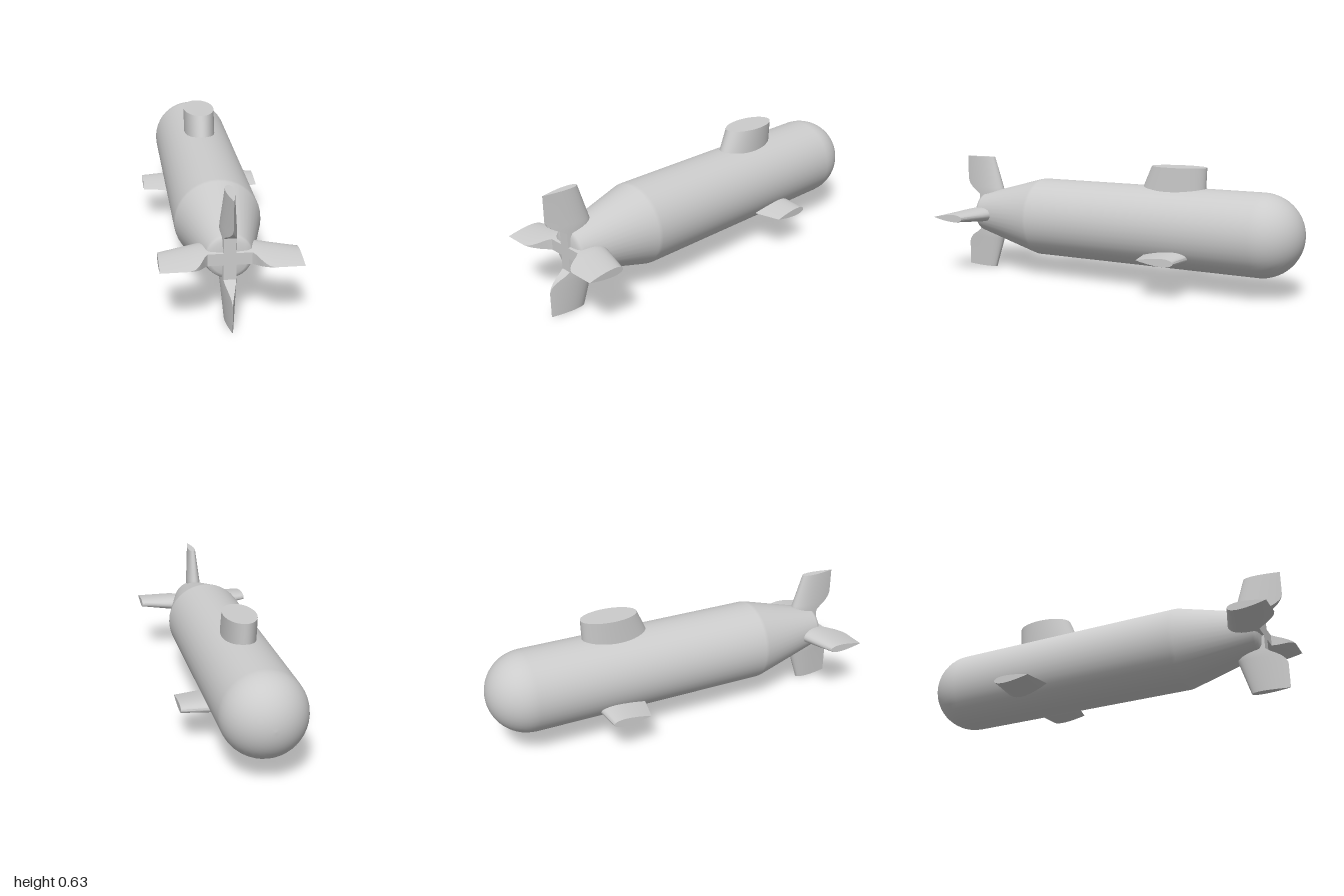
import * as THREE from 'three';
import { toCreasedNormals } from 'three/addons/utils/BufferGeometryUtils.js';

const AXIS_Y = 0.32;
const RADIUS = 0.21;
const material = new THREE.MeshStandardMaterial({ color: 0xcccccc, side: THREE.DoubleSide });

// Half-thickness across the chord (u = 0 leading edge, 1 trailing edge), peak 0.5
const foil = (u) =>
  5 * (0.2969 * Math.sqrt(u) - 0.126 * u - 0.3516 * u ** 2 + 0.2843 * u ** 3 - 0.1036 * u ** 4);
const ellipse = (u) => Math.sqrt(Math.max(0, u * (1 - u)));

// Cross-sections lofted along +x; each is [x, lead z, trail z, thickness, cut z]
function loftBlade(sections, shape, half = 14) {
  const rings = sections.map(([x, lead, trail, thick, cut = trail]) => {
    const end = (cut - lead) / (trail - lead);
    const ring = [];
    for (let i = -half; i <= half; i++) {
      const u = (end * (1 - Math.cos((Math.PI * i) / half))) / 2;
      ring.push([x, Math.sign(i) * shape(u) * thick, lead + u * (trail - lead)]);
    }
    return ring;
  });
  const n = 2 * half + 1;
  const pos = [];
  const tri = (...corners) => corners.forEach((c) => pos.push(...c));
  for (let k = 0; k < rings.length - 1; k++) {
    for (let j = 0; j < n; j++) {
      const m = (j + 1) % n;
      const [a, b, c, d] = [rings[k][j], rings[k][m], rings[k + 1][m], rings[k + 1][j]];
      tri(a, b, c);
      tri(a, c, d);
    }
  }
  // Flat tip
  const tip = rings[rings.length - 1];
  const [x, lead, trail] = sections[sections.length - 1];
  for (let j = 0; j < n - 1; j++) tri([x, 0, (lead + trail) / 2], tip[j], tip[j + 1]);
  const geometry = new THREE.BufferGeometry();
  geometry.setAttribute('position', new THREE.Float32BufferAttribute(pos, 3));
  return toCreasedNormals(geometry, 0.7);
}

function addMesh(parent, name, geometry, y, turn = 0) {
  const mesh = new THREE.Mesh(geometry, material);
  mesh.name = name;
  mesh.position.y = y;
  mesh.rotation.z = turn;
  parent.add(mesh);
}

export function createModel() {
  const model = new THREE.Group();
  model.name = 'submarine';

  // Hull: round nose, straight body, tapered tail with a shallow rounded end
  const profile = [];
  for (let i = 0; i <= 14; i++) {
    const a = (i / 14) * (Math.PI / 2);
    profile.push(new THREE.Vector2(RADIUS * Math.sin(a), -1 + RADIUS * (1 - Math.cos(a))));
  }
  const tail = [[0.21, 0.47], [0.207, 0.49], [0.109, 0.86], [0.104, 0.874], [0.085, 0.884], [0.045, 0.889], [0, 0.89]];
  tail.forEach(([r, z]) => profile.push(new THREE.Vector2(r, z)));
  const hull = new THREE.LatheGeometry(profile, 40).rotateX(Math.PI / 2);
  addMesh(model, 'hull', hull, AXIS_Y);

  // Sail: upright oval tower with a sloping rear edge
  const sail = loftBlade(
    [[0.45, -0.485, -0.11, 0.164], [0.53, -0.488, -0.145, 0.164], [0.635, -0.492, -0.192, 0.164]],
    ellipse, 20);
  addMesh(model, 'sail', sail, 0, Math.PI / 2);

  // Tail fins: trailing edge is cut back near the hull and curves out to full chord
  const cuts = [[0, 0.9], [0.1, 0.9], [0.115, 0.92], [0.13, 0.95], [0.145, 0.973], [0.162, 0.99], [0.185, 1], [0.315, 1]];
  const finSections = cuts.map(([x, cut]) => {
    const t = Math.max(0, (x - 0.125) / 0.19);
    return [x, 0.75 + 0.06 * t, 1, 0.075 - 0.035 * t, cut];
  });
  const fin = loftBlade(finSections, foil);
  ['leftTailFin', 'topTailFin', 'rightTailFin', 'bottomTailFin'].forEach((name, i) =>
    addMesh(model, name, fin, AXIS_Y, (i * Math.PI) / 2));

  // Bow planes: a pair low on the forward hull
  const plane = loftBlade(
    [[0.1, -0.475, -0.212, 0.074], [0.315, -0.458, -0.257, 0.04]], foil);
  addMesh(model, 'leftBowPlane', plane, 0.2);
  addMesh(model, 'rightBowPlane', plane, 0.2, Math.PI);

  return model;
}
